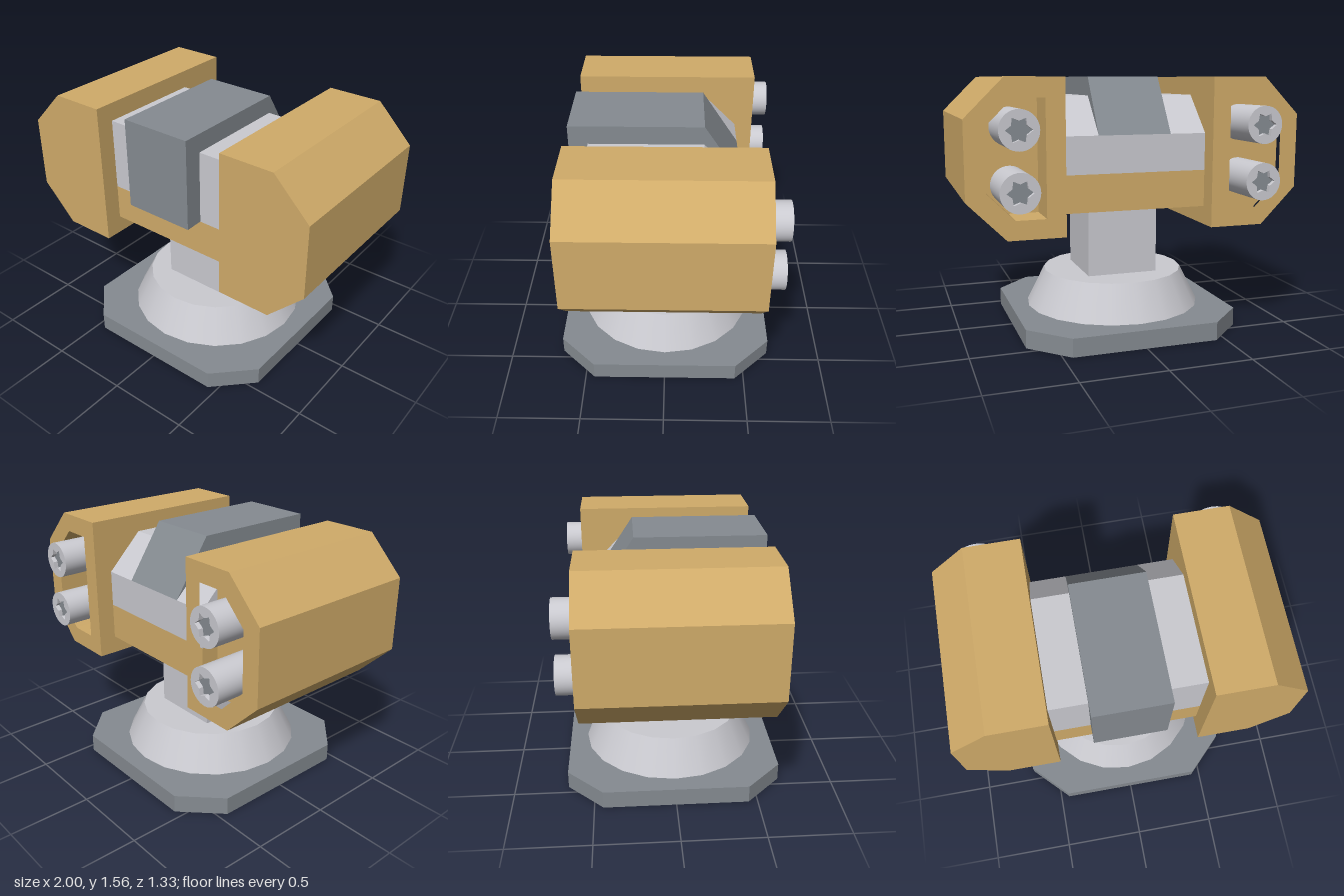
import * as THREE from 'three';
import { toCreasedNormals } from 'three/addons/utils/BufferGeometryUtils.js';

const U = 1 / 9; // design grid

function material(name, color) {
  const m = new THREE.MeshStandardMaterial({ color });
  m.name = name;
  return m;
}

const toPoints = (list, sx = 1) => list.map(([x, y]) => new THREE.Vector2(x * U * sx, y * U));

// Extrude a shape along z between two grid depths
function prism(shape, z0, z1) {
  const geo = new THREE.ExtrudeGeometry(shape, { depth: (z1 - z0) * U, bevelEnabled: false, curveSegments: 20 });
  return geo.translate(0, 0, z0 * U);
}

// Extrude a (z, y) profile along x, centred
function crossPrism(profile, halfWidth) {
  return prism(new THREE.Shape(toPoints(profile)), -halfWidth, halfWidth).rotateY(-Math.PI / 2);
}

function box(w, y0, y1, d) {
  return new THREE.BoxGeometry(w * U, (y1 - y0) * U, d * U).translate(0, (y0 + y1) * U / 2, 0);
}

// Six-lobed socket outline
function starPoints(cx, cy) {
  return Array.from({ length: 12 }, (_, i) => {
    const a = i * Math.PI / 6;
    const r = i % 2 ? 0.45 : 0.68;
    return [cx + r * Math.cos(a), cy + r * Math.sin(a)];
  });
}

export function createModel() {
  const model = new THREE.Group();
  model.name = 'mountedTwinPod';
  const gold = material('gold', 0xd0ab69);
  const light = material('lightGrey', 0xcacad0);
  const dark = material('darkGrey', 0x858b91);

  const add = (parent, name, geo, mat) => {
    const mesh = new THREE.Mesh(geo, mat);
    mesh.name = name;
    parent.add(mesh);
  };

  // Octagonal foot plate
  const foot = new THREE.Shape(toPoints([[-4, -6], [4, -6], [6, -4], [6, 4], [4, 6], [-4, 6], [-6, 4], [-6, -4]]));
  add(model, 'footPlate', prism(foot, -1, 0).rotateX(Math.PI / 2).translate(0, 0, 0), dark);

  // Tapered collar and square post
  add(model, 'collar', new THREE.CylinderGeometry(4 * U, 5 * U, 2 * U, 20).translate(0, 2 * U, 0), light);
  add(model, 'post', box(4, 3, 7, 4), light);

  // Central bridge, with the back of the upper parts sloped
  add(model, 'crossBeam', box(8, 7, 9, 8), gold);
  add(model, 'bridgeBody', crossPrism([[4, 9], [4, 13], [-2, 13], [-4, 11], [-4, 9]], 4), light);
  add(model, 'centreCover', crossPrism([[5, 9], [5, 14], [-2, 14], [-4, 11], [-3.9, 9]], 2), dark);

  // Side pods with a recessed back holding two bolts
  const outline = [[4, 6], [7, 6], [9, 8], [9, 12], [7, 14], [4, 14]];
  const recess = [[5, 7], [6.59, 7], [8, 8.41], [8, 11.59], [6.59, 13], [5, 13]];
  for (const side of [1, -1]) {
    const pod = new THREE.Group();
    pod.name = side > 0 ? 'leftPod' : 'rightPod';
    model.add(pod);

    add(pod, 'podBody', prism(new THREE.Shape(toPoints(outline, side)), -3, 5), gold);
    const rim = new THREE.Shape(toPoints(outline, side));
    rim.holes.push(new THREE.Path(toPoints(recess, side)));
    add(pod, 'podRim', prism(rim, -5, -3), gold);

    for (const y of [8.5, 11.5]) {
      const star = toPoints(starPoints(6.5, y), side);
      const bolt = new THREE.Shape();
      bolt.absarc(6.5 * U * side, y * U, U, 0, Math.PI * 2);
      bolt.holes.push(new THREE.Path(star));
      add(pod, 'bolt', toCreasedNormals(prism(bolt, -6, -3), 0.4), light);
      add(pod, 'boltSocket', prism(new THREE.Shape(star), -5.75, -5.7), dark);
    }
  }
  return model;
}
